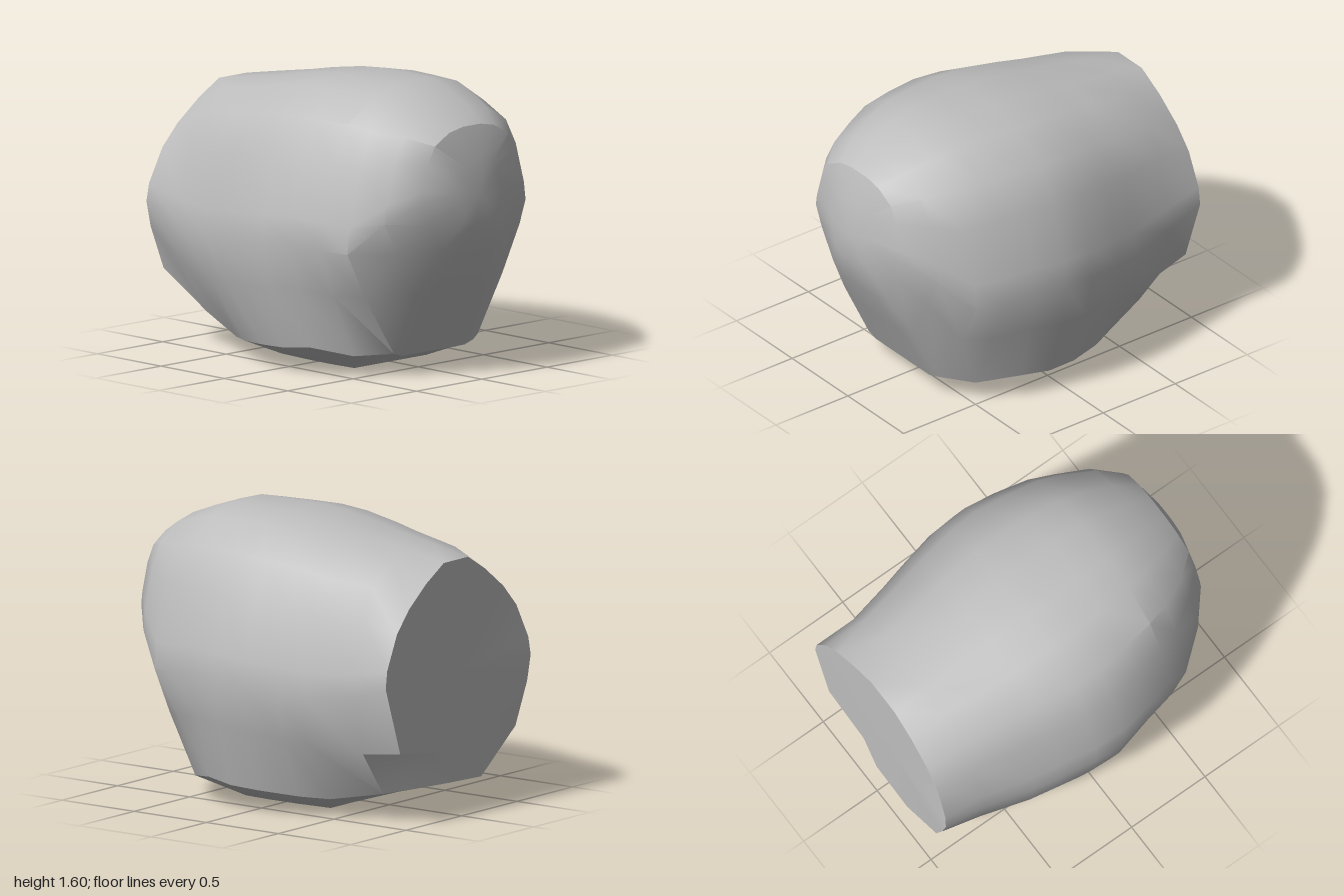
import * as THREE from 'three';
import { toCreasedNormals } from 'three/addons/utils/BufferGeometryUtils.js';

// Cross-sections from back to front:
// z, half width, bottom y, lower-edge y, lower-edge width share, flank width share, top y
const SECTIONS = [
  [-0.96, 0.63, 0.18, 0.42, 0.82, 0.95, 1.43],
  [-0.74, 0.64, 0.14, 0.19, 0.64, 0.94, 1.47],
  [-0.45, 0.71, 0.05, 0.10, 0.66, 0.94, 1.52],
  [-0.30, 0.745, 0.00, 0.11, 0.74, 0.94, 1.55],
  [-0.08, 0.79, 0.00, 0.13, 0.80, 0.94, 1.585],
  [0.10, 0.80, 0.00, 0.14, 0.81, 0.94, 1.60],
  [0.28, 0.77, 0.00, 0.16, 0.80, 0.92, 1.60],
  [0.48, 0.72, 0.07, 0.12, 0.66, 0.87, 1.60],
  [0.62, 0.66, 0.11, 0.13, 0.46, 0.80, 1.56],
  [0.79, 0.54, 0.44, 0.48, 0.56, 0.82, 1.495],
  [0.92, 0.39, 0.68, 0.73, 0.60, 0.86, 1.41],
  [0.99, 0.16, 0.88, 0.92, 0.75, 0.94, 1.24],
];

// Side of a section above the flank: width share, height share
const BODY_SIDE = [[1, 0.42], [0.975, 0.52], [0.86, 0.74], [0.72, 0.88], [0.44, 0.97], [0.17, 1]];
const BACK_SIDE = [[1, 0.38], [0.98, 0.48], [0.84, 0.67], [0.67, 0.79], [0.42, 0.91], [0.17, 1]];

function halfSection([, w, bottom, edge, edgeShare, flankShare, top], side) {
  return [
    [0.36 * w, bottom],
    [edgeShare * w, edge],
    ...[[flankShare, 0.24], ...side].map(([sx, sy]) => [sx * w, edge + (top - edge) * sy]),
  ];
}

function createBoulderGeometry() {
  const positions = [];
  const index = [];
  const count = 2 * (BODY_SIDE.length + 3);
  const lastRow = SECTIONS.length - 1;

  SECTIONS.forEach((section, r) => {
    const right = halfSection(section, r === 0 ? BACK_SIDE : BODY_SIDE);
    const left = right.map(([x, y]) => [-x, y]).reverse();
    // Broken corner low on the back face, and the dent leading to it
    if (r === 0) right.splice(0, 3, [0.06, 0.19], [0.18, 0.38], [0.5, 0.42]);
    if (r === 1) right.splice(1, 2, [0.37, 0.15], [0.55, 0.40]);
    for (const [x, y] of [...right, ...left]) {
      let z = section[0];
      // The broken back face reaches furthest at mid height on the right side
      if (r === 0) z -= 0.04 * Math.max(0, 1 - Math.abs(y - 0.72) / 0.6) * Math.max(0, -x / 0.63);
      // The blunt nose leans back towards its top
      if (r === lastRow) z = 1 - 0.07 * (y - 0.88);
      positions.push(x, y, z);
    }
  });

  // Skin between neighbouring sections
  for (let r = 0; r < lastRow; r++) {
    for (let i = 0; i < count; i++) {
      const j = (i + 1) % count;
      const a = r * count + i, b = r * count + j;
      index.push(a, b, b + count, a, b + count, a + count);
    }
  }

  // Back and front caps
  const back = positions.length / 3;
  positions.push(0, 0.8, -0.965, 0, 1.03, 0.99);
  const last = lastRow * count;
  for (let i = 0; i < count; i++) {
    const j = (i + 1) % count;
    index.push(back, j, i, back + 1, last + i, last + j);
  }

  const geometry = new THREE.BufferGeometry();
  geometry.setAttribute('position', new THREE.Float32BufferAttribute(positions, 3));
  geometry.setIndex(index);
  return toCreasedNormals(geometry, 0.6);
}

export function createModel() {
  const group = new THREE.Group();
  group.name = 'boulder';
  const stone = new THREE.MeshStandardMaterial({ color: 0xbebebe });
  stone.name = 'grey stone';
  const rock = new THREE.Mesh(createBoulderGeometry(), stone);
  rock.name = 'rock';
  group.add(rock);
  return group;
}
